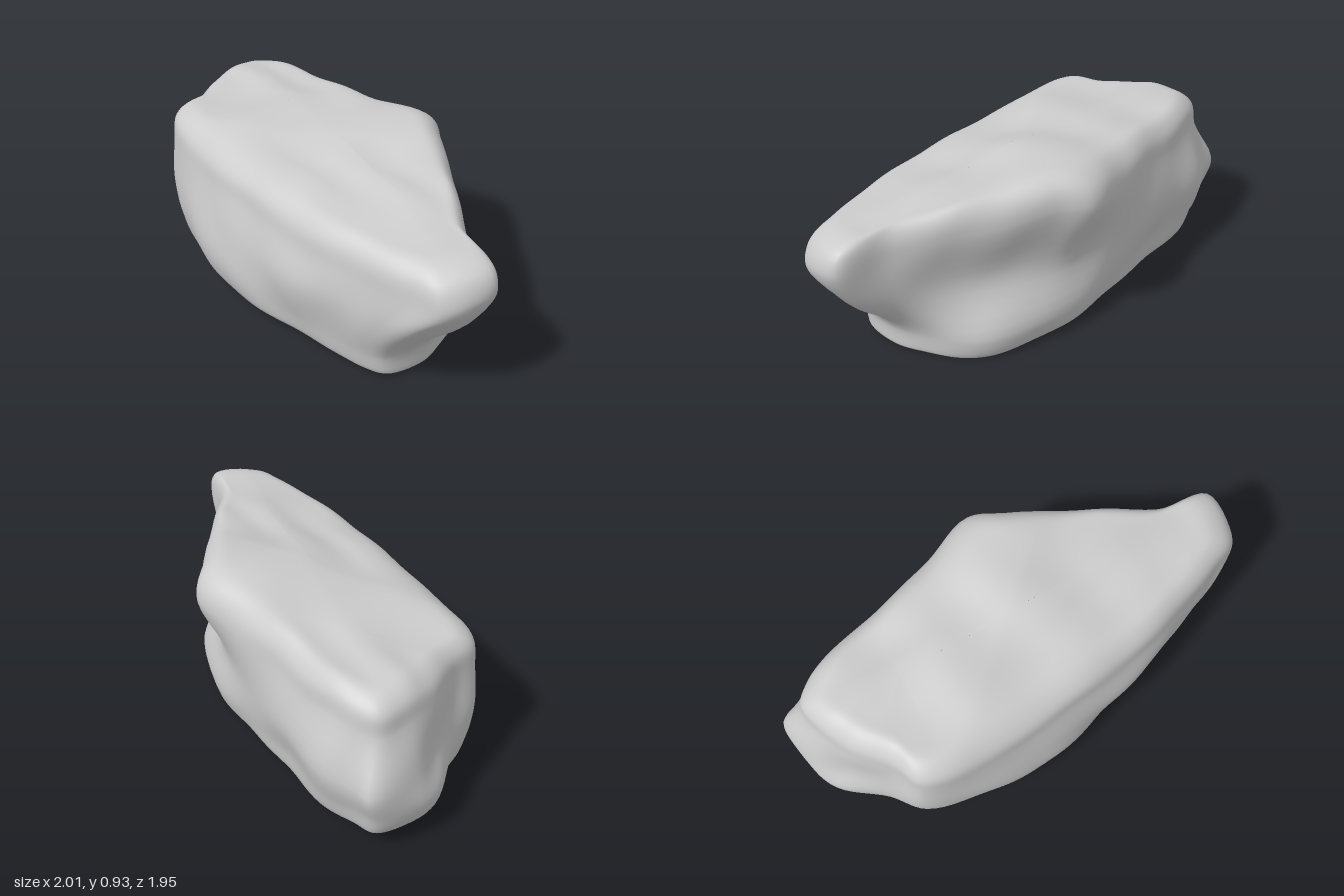
import * as THREE from 'three';

// Outlines as [x, z], counter-clockwise seen from above, starting at the back left corner
const UPPER = [
  [-0.78, -0.85], [-0.86, -0.72], [-0.91, -0.53], [-0.92, -0.3], [-0.97, -0.12], [-0.75, 0.13],
  [-0.48, 0.33], [-0.2, 0.52], [0.05, 0.68], [0.35, 0.82], [0.62, 0.92], [0.81, 0.97],
  [1.01, 0.78], [0.84, 0.56], [0.73, 0.3], [0.61, 0.02], [0.51, -0.2], [0.43, -0.38],
  [0.1, -0.53], [-0.2, -0.67], [-0.5, -0.82], [-0.66, -0.86],
];
const MIDDLE = [
  [-0.8, -0.97], [-0.94, -0.75], [-0.95, -0.55], [-0.95, -0.33], [-0.98, -0.14], [-0.76, 0.16],
  [-0.5, 0.38], [-0.22, 0.56], [0.03, 0.71], [0.28, 0.8], [0.48, 0.88], [0.65, 0.92],
  [0.89, 0.71], [0.8, 0.52], [0.66, 0.28], [0.56, 0.05], [0.46, -0.13], [0.36, -0.28],
  [0.1, -0.5], [-0.2, -0.71], [-0.5, -0.91], [-0.68, -0.94],
];
const LOWER = [
  [-0.82, -0.93], [-0.96, -0.76], [-1, -0.62], [-0.96, -0.35], [-0.96, -0.14], [-0.75, 0.16],
  [-0.5, 0.39], [-0.22, 0.55], [0.03, 0.65], [0.22, 0.73], [0.37, 0.78], [0.5, 0.78],
  [0.65, 0.61], [0.7, 0.44], [0.73, 0.24], [0.7, 0.08], [0.57, -0.1], [0.41, -0.28],
  [0.12, -0.47], [-0.2, -0.65], [-0.5, -0.85], [-0.68, -0.9],
];
const AROUND = 154, STEPS = 5;

// Height of the worn top: highest near the right shoulder, falling to the front edge
const topY = (x, z) =>
  0.886 - 0.1 * Math.max(0, z) - 0.055 * Math.max(0, z - x) - 0.05 * Math.max(0, -z - 0.4) +
  0.055 * Math.exp(-((x - 0.33) ** 2 + (z + 0.2) ** 2) / 0.12) +
  0.008 * Math.sin(5 * x + 9 * z + 2 * Math.sin(4 * x - 2 * z)) +
  0.006 * Math.sin(13 * x - 8 * z + 2 * Math.sin(7 * z + 1));
// Height of the open underside
const baseY = (x, z) => 0.045 - 0.05 * x + 0.03 * z * z + 0.05 * Math.max(0, -x - 0.6);

// Smooth closed outline through the given corners
function outline(points) {
  const curve = new THREE.CatmullRomCurve3(points.map(([x, z]) => new THREE.Vector3(x, 0, z)), true);
  return Array.from({ length: AROUND }, (_, i) => curve.getPoint(i / AROUND));
}

// Draws a point in towards the long diagonal spine
const spine = new THREE.Line3(new THREE.Vector3(-0.5, 0, -0.4), new THREE.Vector3(0.5, 0, 0.45));
function inset(p, f) {
  const s = spine.closestPointToPoint(p, true, new THREE.Vector3());
  return s.lerp(p, f);
}

// Shallow dents on the sides
function dent(p) {
  const d = 0.005 * Math.sin(6 * p.x - 5 * p.z + 5 * p.y + 2 * Math.sin(5 * p.y + 3 * p.x)) +
    0.003 * Math.sin(13 * p.x + 9 * p.z + 8 * p.y);
  const s = spine.closestPointToPoint(new THREE.Vector3(p.x, 0, p.z), true, new THREE.Vector3());
  const out = new THREE.Vector3(p.x - s.x, 0, p.z - s.z);
  const fade = Math.min(1, out.length() / 0.3);
  return p.addScaledVector(out.normalize(), d * fade);
}

function rockGeometry() {
  const upper = outline(UPPER), middle = outline(MIDDLE), lower = outline(LOWER);
  const columns = upper.map((u, i) => {
    const m = middle[i], l = lower[i];
    const at = (p, f, y) => { const q = inset(p, f); q.y = y(q.x, q.z); return q; };
    // Profile from the inner lip of the opening, up the side and over the top
    const profile = [
      at(l, 0.8, (x, z) => baseY(x, z) + 0.03),
      at(l, 0.91, baseY),
      at(l, 1, (x, z) => baseY(x, z) + 0.13),
      at(m, 1, () => 0.42),
      at(u, 1, (x, z) => topY(x, z) - 0.18),
      at(u, 0.95, (x, z) => topY(x, z) - 0.065),
      at(u, 0.79, (x, z) => topY(x, z) - 0.005),
      at(u, 0.53, topY),
      at(u, 0.27, topY),
      at(u, 0, topY),
    ];
    const curve = new THREE.CatmullRomCurve3(profile);
    const n = (profile.length - 1) * STEPS;
    return Array.from({ length: n + 1 }, (_, j) => {
      const p = curve.getPoint(j / n);
      if (j > 6 * STEPS) p.y = THREE.MathUtils.lerp(p.y, topY(p.x, p.z), Math.min(1, (j - 6 * STEPS) / STEPS));
      return dent(p);
    });
  });

  const rows = columns[0].length, positions = [], index = [];
  for (let j = 0; j < rows; j++) {
    for (let i = 0; i < AROUND; i++) {
      positions.push(...columns[i][j].toArray());
      if (j === rows - 1) continue;
      const a = j * AROUND + i, b = j * AROUND + (i + 1) % AROUND;
      index.push(a, b, b + AROUND, a, b + AROUND, a + AROUND);
    }
  }
  const geometry = new THREE.BufferGeometry();
  geometry.setAttribute('position', new THREE.Float32BufferAttribute(positions, 3));
  geometry.setIndex(index);
  geometry.computeVertexNormals();
  geometry.computeBoundingBox();
  geometry.translate(0, -geometry.boundingBox.min.y, 0);
  return geometry;
}

export function createModel() {
  const group = new THREE.Group();
  group.name = 'rock';
  const material = new THREE.MeshStandardMaterial({ color: 0xcccccc, side: THREE.DoubleSide });
  const shell = new THREE.Mesh(rockGeometry(), material);
  shell.name = 'rockShell';
  group.add(shell);
  return group;
}
